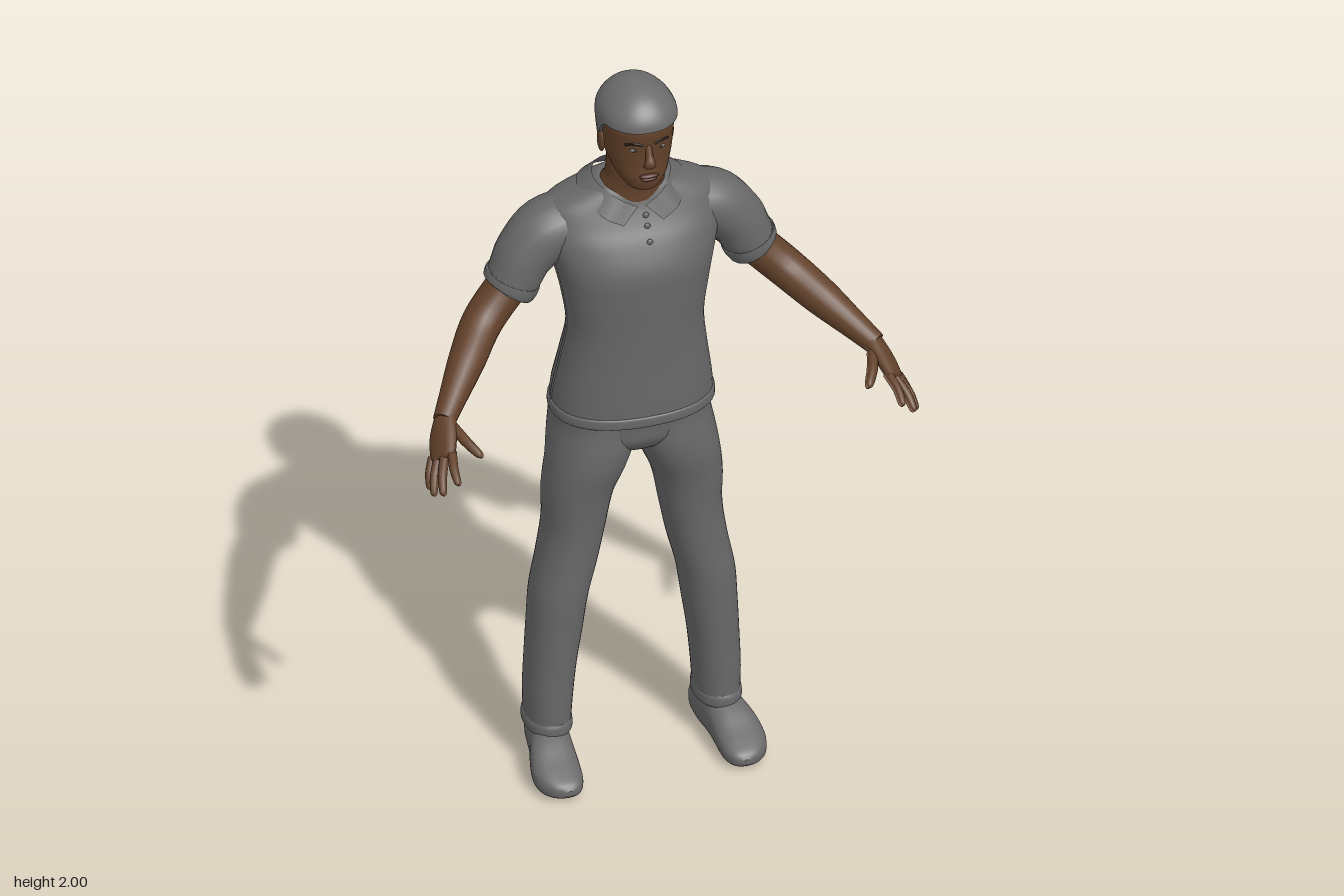
import * as THREE from 'three';

const paint = (name, hex, side = THREE.FrontSide) => {
  const m = new THREE.MeshStandardMaterial({ color: hex, side });
  m.name = name;
  return m;
};
const V = (x, y, z) => new THREE.Vector3(x, y, z);
const power = (c, p) => Math.sign(c) * Math.abs(c) ** (2 / p);

// Catmull-Rom through every column of a table of cross-sections
function smooth(rows, steps = 5) {
  const out = [], last = rows.length - 1;
  const cr = (a, b, c, d, t) => 0.5 * (2 * b + (c - a) * t + (2 * a - 5 * b + 4 * c - d) * t * t + (3 * b - a - 3 * c + d) * t ** 3);
  for (let i = 0; i < last; i++) {
    for (let s = 0; s < steps; s++) {
      const q = [Math.max(i - 1, 0), i, i + 1, Math.min(i + 2, last)].map((k) => rows[k]);
      out.push(rows[i].map((_, c) => cr(q[0][c], q[1][c], q[2][c], q[3][c], s / steps)));
    }
  }
  out.push(rows[last]);
  return out;
}

// Skin over a stack of closed rings, with flat end caps
function loft(rings) {
  const pos = [], idx = [], n = rings[0].length;
  rings.forEach((r) => r.forEach((p) => pos.push(p.x, p.y, p.z)));
  for (let i = 0; i < rings.length - 1; i++) {
    for (let j = 0; j < n; j++) {
      const a = i * n + j, b = i * n + (j + 1) % n;
      idx.push(a, b, a + n, b, b + n, a + n);
    }
  }
  [rings[0], rings[rings.length - 1]].forEach((r, end) => {
    const start = pos.length / 3, c = V(0, 0, 0);
    r.forEach((p) => { pos.push(p.x, p.y, p.z); c.addScaledVector(p, 1 / n); });
    pos.push(c.x, c.y, c.z);
    for (let j = 0; j < n; j++) {
      const a = start + j, b = start + (j + 1) % n;
      idx.push(...(end ? [a, b, start + n] : [b, a, start + n]));
    }
  });
  const g = new THREE.BufferGeometry();
  g.setAttribute('position', new THREE.Float32BufferAttribute(pos, 3));
  g.setIndex(idx);
  g.computeVertexNormals();
  return g;
}
const ring = (n, f) => Array.from({ length: n }, (_, j) => f(Math.cos(j / n * 2 * Math.PI), Math.sin(j / n * 2 * Math.PI)));

// Upright body form, rows of [y, centre x, half width, front z, back z]
const upright = (rows, p = 2.2, n = 36) => loft(smooth(rows).map(([y, cx, rx, f, b]) =>
  ring(n, (c, s) => V(cx + rx * power(c, p), y, (f + b) / 2 - (f - b) / 2 * power(s, p)))));

// Limb along a path, rows of [x, y, z, radius along ref, radius across]
function sweep(rows, ref = V(0, 0, 1), n = 20) {
  const r = smooth(rows), at = (i) => V(...r[Math.min(Math.max(i, 0), r.length - 1)].slice(0, 3));
  return loft(r.map((row, i) => {
    const d = at(i + 1).sub(at(i - 1)).normalize();
    const u = ref.clone().addScaledVector(d, -d.dot(ref)).normalize();
    const v = d.clone().cross(u);
    return ring(n, (c, s) => at(i).addScaledVector(u, row[3] * c).addScaledVector(v, row[4] * s));
  }));
}
const ball = (x, y, z, rx, ry, rz) => new THREE.SphereGeometry(1, 20, 14).scale(rx, ry, rz).translate(x, y, z);
function mirrored(g) {
  const m = g.clone().scale(-1, 1, 1), k = m.index.array;
  for (let i = 0; i < k.length; i += 3) [k[i], k[i + 1]] = [k[i + 1], k[i]];
  m.computeVertexNormals();
  return m;
}

export function createModel() {
  const model = new THREE.Group();
  model.name = 'standingMan';
  const cloth = paint('greyCloth', 0x686868), collarCloth = paint('collarCloth', 0x666666, THREE.DoubleSide);
  const skin = paint('brownSkin', 0x62412a), palmSkin = paint('palePalm', 0x94705c);
  const lip = paint('lips', 0x55332a), dark = paint('darkBrow', 0x2c2420), hairMat = paint('greyHair', 0x6c6c6c);
  const add = (name, g, mat) => {
    const m = new THREE.Mesh(g, mat);
    m.name = name;
    model.add(m);
  };
  const pair = (name, g, mat) => { add('left' + name, g, mat); add('right' + name, mirrored(g), mat); };

  // Shirt body and hem
  const shirt = [
    [1.035, 0, 0.208, 0.02, -0.272], [1.1, 0, 0.203, 0.022, -0.268], [1.2, 0, 0.187, 0.022, -0.24],
    [1.3, 0, 0.175, 0.025, -0.215], [1.4, 0, 0.188, 0.03, -0.22], [1.48, 0, 0.205, 0.03, -0.242],
    [1.55, 0, 0.225, 0.004, -0.25], [1.6, 0, 0.23, -0.025, -0.25], [1.64, 0, 0.215, -0.045, -0.242],
    [1.67, 0, 0.16, -0.055, -0.225], [1.69, 0, 0.11, -0.062, -0.208], [1.7, 0, 0.085, -0.07, -0.19]];
  add('shirtBody', upright(shirt, 2.3, 48), cloth);
  add('shirtHem', upright([[1.03, 0, 0.209, 0.021, -0.274], [1.035, 0, 0.212, 0.025, -0.277],
    [1.055, 0, 0.211, 0.025, -0.276], [1.06, 0, 0.206, 0.021, -0.271]], 2.3, 48), cloth);
  pair('SideSeam', new THREE.TubeGeometry(new THREE.CatmullRomCurve3(shirt.slice(0, 6).map(
    ([y, , rx, f, b]) => V(rx - 0.001, y, (f + b) / 2 - 0.01))), 24, 0.004, 6), cloth);

  // Sleeves with cuffs
  pair('Sleeve', sweep([[0.13, 1.585, -0.145, 0.085, 0.075], [0.215, 1.563, -0.143, 0.086, 0.082],
    [0.272, 1.512, -0.138, 0.08, 0.075], [0.297, 1.467, -0.134, 0.076, 0.07], [0.314, 1.428, -0.132, 0.073, 0.067]]), cloth);
  pair('SleeveCuff', sweep([[0.305, 1.452, -0.133, 0.074, 0.068], [0.307, 1.447, -0.133, 0.078, 0.072],
    [0.315, 1.428, -0.132, 0.077, 0.071], [0.317, 1.424, -0.132, 0.073, 0.067]]), cloth);

  // Folded collar: a strip between a neck edge and a hanging edge
  const neckEdge = new THREE.CatmullRomCurve3([V(0.01, 1.652, -0.038), V(0.06, 1.678, -0.055), V(0.1, 1.708, -0.12),
    V(0.07, 1.714, -0.188), V(0, 1.714, -0.203)]);
  const hangEdge = new THREE.CatmullRomCurve3([V(0.052, 1.612, -0.022), V(0.1, 1.635, -0.042), V(0.138, 1.682, -0.14),
    V(0.09, 1.675, -0.222), V(0, 1.668, -0.238)]);
  const collar = new THREE.PlaneGeometry(1, 1, 20, 1), cp = collar.attributes.position;
  for (let i = 0; i <= 20; i++) {
    const a = neckEdge.getPoint(i / 20), b = hangEdge.getPoint(i / 20);
    cp.setXYZ(i, a.x, a.y, a.z);
    cp.setXYZ(i + 21, b.x, b.y, b.z);
  }
  collar.computeVertexNormals();
  pair('Collar', collar, collarCloth);
  [[1.625, -0.036], [1.6, -0.024], [1.565, -0.003]].forEach(([y, z], i) =>
    add('button' + (i + 1), ball(0.01, y, z, 0.008, 0.008, 0.005), cloth));

  // Trousers: pelvis, legs and leg hems
  add('trouserSeat', upright([[0.905, 0, 0.03, -0.09, -0.16], [0.925, 0, 0.1, -0.04, -0.205],
    [0.96, 0, 0.17, -0.012, -0.243], [1.0, 0, 0.193, -0.006, -0.262], [1.05, 0, 0.195, 0, -0.262]], 2.3), cloth);
  pair('TrouserLeg', upright([[0.11, 0.222, 0.056, -0.042, -0.205], [0.2, 0.22, 0.06, -0.04, -0.205],
    [0.3, 0.213, 0.063, -0.038, -0.206], [0.4, 0.203, 0.068, -0.034, -0.208], [0.5, 0.192, 0.072, -0.03, -0.212],
    [0.6, 0.17, 0.075, -0.03, -0.216], [0.7, 0.153, 0.078, -0.027, -0.217], [0.8, 0.143, 0.088, -0.017, -0.222],
    [0.88, 0.122, 0.1, -0.003, -0.23], [0.94, 0.107, 0.106, 0, -0.256], [1.0, 0.102, 0.1, -0.005, -0.272],
    [1.05, 0.1, 0.098, -0.005, -0.265]]), cloth);
  pair('LegHem', upright([[0.105, 0.222, 0.056, -0.042, -0.205], [0.112, 0.222, 0.06, -0.037, -0.21],
    [0.13, 0.222, 0.06, -0.037, -0.21], [0.14, 0.221, 0.057, -0.041, -0.206]]), cloth);

  // Shoes, rows of [z, centre x, half width, top, bottom] from heel to toe
  const shoe = [[-0.21, 0.215, 0.02, 0.08, 0.03], [-0.195, 0.215, 0.042, 0.11, 0.008], [-0.14, 0.22, 0.05, 0.125, 0.002],
    [-0.08, 0.228, 0.053, 0.125, 0.003], [-0.03, 0.237, 0.059, 0.11, 0.002], [0.02, 0.242, 0.062, 0.084, 0],
    [0.06, 0.24, 0.055, 0.065, 0.002], [0.088, 0.235, 0.036, 0.05, 0.01], [0.1, 0.231, 0.012, 0.036, 0.02]];
  pair('Shoe', loft(smooth(shoe).map(([z, cx, w, t, b]) =>
    ring(28, (c, s) => V(cx + w * power(c, 2.6), (t + b) / 2 + (t - b) / 2 * power(s, 2.6), z)))), cloth);

  // Arms
  pair('Arm', sweep([[0.26, 1.49, -0.138, 0.055, 0.055], [0.33, 1.415, -0.13, 0.055, 0.052],
    [0.4, 1.348, -0.098, 0.053, 0.051], [0.465, 1.297, -0.02, 0.047, 0.047], [0.525, 1.25, 0.056, 0.036, 0.036],
    [0.565, 1.218, 0.107, 0.029, 0.029]]), skin);

  // Hands: each piece has a paler copy set slightly towards the palm side
  const knuckles = V(-0.035, 0.03, 0.04).normalize(), inward = V(-0.76, -0.62, -0.2);
  const handPiece = (name, rows) => {
    pair(name, sweep(rows, knuckles, 12), skin);
    const under = rows.map(([x, y, z, a, b]) => [...V(x, y, z).addScaledVector(inward, 0.004).toArray(), a * 0.88, b * 0.9]);
    pair(name + 'Underside', sweep(under, knuckles, 12), palmSkin);
  };
  handPiece('Palm', [[0.558, 1.224, 0.097, 0.029, 0.025], [0.577, 1.195, 0.138, 0.042, 0.02],
    [0.59, 1.166, 0.175, 0.041, 0.016], [0.594, 1.157, 0.187, 0.032, 0.01]]);
  const finger = (name, a, b, r) => {
    const [p, q] = [V(...a), V(...b)], at = (t) => p.clone().lerp(q, t).addScaledVector(inward, -0.006 * Math.sin(Math.PI * t)).toArray();
    handPiece(name, [[0, 1], [0.5, 0.95], [0.9, 0.75], [1, 0.25]].map(([t, k]) => [...at(t), r * k, r * k]));
  };
  finger('IndexFinger', [0.572, 1.178, 0.19], [0.583, 1.135, 0.278], 0.0115);
  finger('MiddleFinger', [0.59, 1.163, 0.185], [0.618, 1.102, 0.263], 0.012);
  finger('RingFinger', [0.603, 1.152, 0.172], [0.633, 1.085, 0.233], 0.0115);
  finger('LittleFinger', [0.612, 1.146, 0.152], [0.632, 1.08, 0.193], 0.01);
  finger('Thumb', [0.55, 1.212, 0.135], [0.507, 1.176, 0.232], 0.014);

  // Neck and head
  add('neck', upright([[1.64, 0, 0.1, -0.05, -0.2], [1.69, 0, 0.085, -0.052, -0.185], [1.72, 0, 0.073, -0.045, -0.168],
    [1.76, 0, 0.07, -0.04, -0.163], [1.81, 0, 0.07, -0.04, -0.165]]), skin);
  add('head', upright([[1.728, 0, 0.022, 0.002, -0.05], [1.738, 0, 0.045, 0.014, -0.085], [1.77, 0, 0.066, 0.021, -0.13],
    [1.8, 0, 0.078, 0.018, -0.16], [1.83, 0, 0.086, 0.018, -0.18], [1.87, 0, 0.09, 0.02, -0.188],
    [1.91, 0, 0.092, 0.022, -0.19], [1.95, 0, 0.078, 0, -0.175], [1.975, 0, 0.048, -0.035, -0.14]]), skin);

  // Face
  add('nose', sweep([[0, 1.868, 0.014, 0.008, 0.008], [0, 1.84, 0.024, 0.01, 0.01], [0, 1.822, 0.031, 0.012, 0.015],
    [0, 1.812, 0.026, 0.009, 0.016]], V(0, 0, 1), 14), skin);
  add('upperLip', ball(0, 1.78, 0.021, 0.025, 0.006, 0.009), lip);
  add('lowerLip', ball(0, 1.771, 0.021, 0.021, 0.006, 0.008), lip);
  pair('Eye', ball(0.034, 1.857, 0.008, 0.013, 0.006, 0.007), cloth);
  pair('Pupil', ball(0.034, 1.857, 0.012, 0.005, 0.005, 0.004), dark);
  pair('Brow', new THREE.TubeGeometry(new THREE.CatmullRomCurve3([V(0.014, 1.872, 0.018), V(0.036, 1.878, 0.013),
    V(0.056, 1.872, -0.001)]), 10, 0.004, 6), dark);
  pair('Ear', ball(0.09, 1.838, -0.09, 0.009, 0.033, 0.019).rotateZ(0), skin);

  // Short hair: a cap hanging from the crown down to a hairline that drops behind the ears
  const cap = smooth([[1.77, 0.074, 0.02, -0.165], [1.82, 0.09, 0.024, -0.19], [1.87, 0.097, 0.028, -0.2],
    [1.92, 0.1, 0.033, -0.2], [1.95, 0.089, 0.022, -0.19], [1.975, 0.066, -0.002, -0.17], [1.99, 0.042, -0.028, -0.145],
    [1.998, 0.02, -0.055, -0.115], [2.0, 0.002, -0.083, -0.088]], 6);
  const capAt = (y) => {
    const i = Math.max(1, cap.findIndex((r) => r[0] >= y - 1e-9)), a = cap[i - 1], b = cap[i], t = (y - a[0]) / (b[0] - a[0]);
    return a.map((v, k) => v + (b[k] - v) * t);
  };
  add('hair', loft(Array.from({ length: 29 }, (_, k) => ring(48, (c, s) => {
    const low = 1.787 + 0.128 * THREE.MathUtils.smoothstep(-s, -0.5, 0.35);
    const [y, rx, f, b] = capAt(low + (2 - low) * (1 - (1 - k / 28) ** 2));
    return V(rx * power(c, 2.2), y, (f + b) / 2 - (f - b) / 2 * power(s, 2.2));
  }))), hairMat);
  return model;
}
